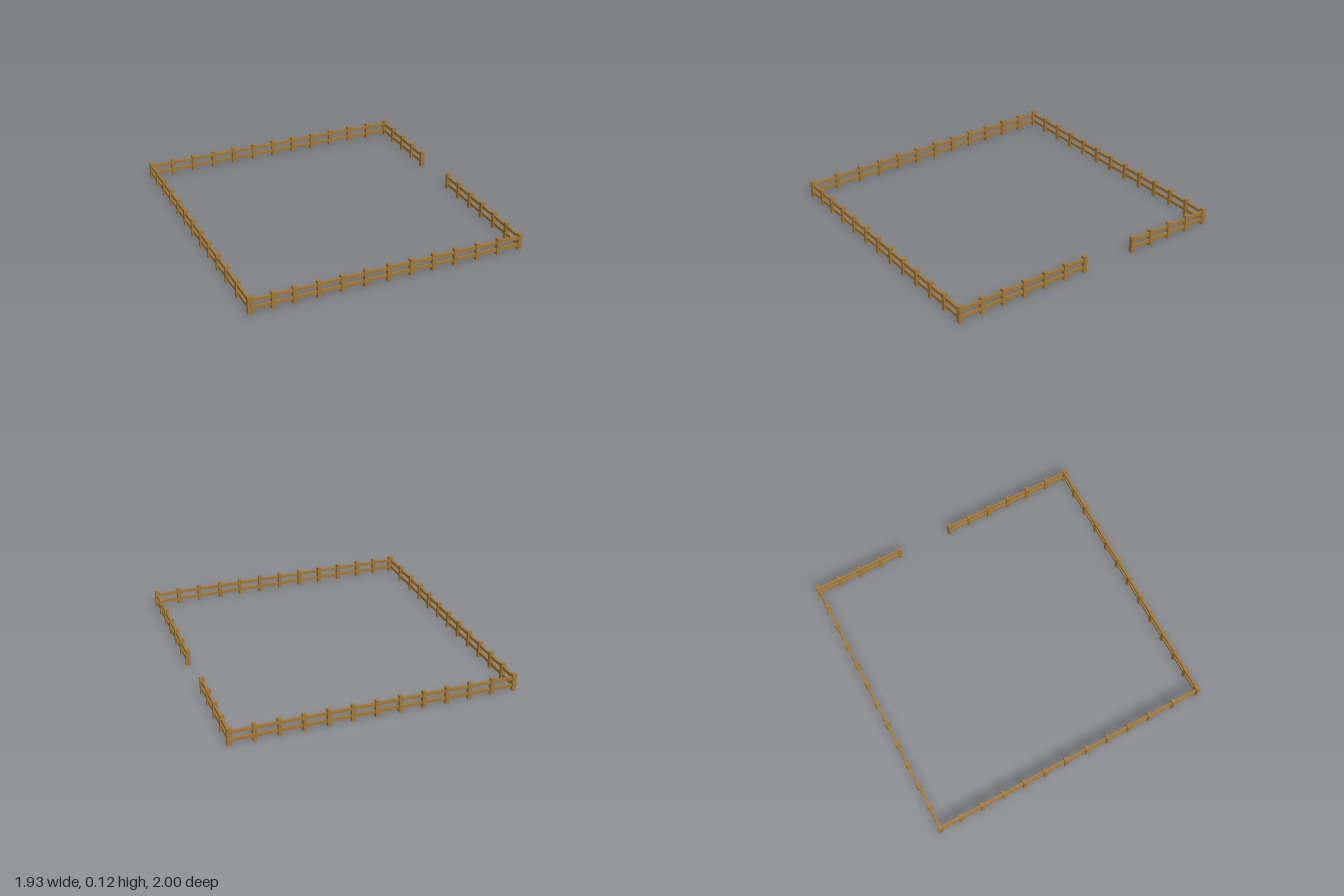
import * as THREE from 'three';

const wood = new THREE.MeshStandardMaterial({ color: 0xa0783a, flatShading: true });
const POST = { along: 0.024, height: 0.118, across: 0.03 };
const RAIL = { height: 0.021, thickness: 0.014, levels: [0.035, 0.088] };

const postGeometry = new THREE.BoxGeometry(POST.along, POST.height, POST.across);

// A straight run from [x, z] to [x, z]; stops are post positions as fractions of the run.
function fenceRun(name, [x0, z0], [x1, z1], stops) {
  const run = new THREE.Group();
  run.name = name;
  const length = Math.hypot(x1 - x0, z1 - z0);
  run.position.set(x0, 0, z0);
  run.rotation.y = -Math.atan2(z1 - z0, x1 - x0);

  // Upright posts
  for (const t of stops) {
    const post = new THREE.Mesh(postGeometry, wood);
    post.name = 'post';
    post.position.set(t * length, POST.height / 2, 0);
    run.add(post);
  }

  // Lower and upper rails
  const railGeometry = new THREE.BoxGeometry(length, RAIL.height, RAIL.thickness);
  for (const y of RAIL.levels) {
    const rail = new THREE.Mesh(railGeometry, wood);
    rail.name = y === RAIL.levels[0] ? 'lowerRail' : 'upperRail';
    rail.position.set(length / 2, y, 0);
    run.add(rail);
  }
  return run;
}

// Evenly spaced stops, both ends included
const even = (count) => Array.from({ length: count }, (_, i) => i / (count - 1));

export function createModel() {
  const fence = new THREE.Group();
  fence.name = 'paddockFence';

  const backRight = [-0.95, -0.985];
  const backLeft = [0.948, -0.985];
  const frontLeft = [0.948, 0.98];
  const frontRight = [-0.92, 0.98];

  // Closed sides; the front and right runs space their last posts unevenly
  const frontX = [-0.907, -0.77, -0.632, -0.473, -0.316, -0.158, 0, 0.157, 0.314, 0.47, 0.63, 0.786, 0.948];
  const rightZ = [-0.985, -0.835, -0.676, -0.517, -0.36, -0.203, -0.046, 0.115, 0.274, 0.436, 0.598, 0.786, 0.98];
  fence.add(
    fenceRun('backFence', backRight, backLeft, even(13)),
    fenceRun('frontFence', frontRight, frontLeft, frontX.map((x) => (x + 0.92) / 1.868)),
    fenceRun('rightFence', backRight, frontRight, rightZ.map((z) => (z + 0.985) / 1.965)),
  );

  // Left side, split by the gateway opening
  fence.add(
    fenceRun('leftBackFence', backLeft, [0.948, -0.356], even(5)),
    fenceRun('leftFrontFence', [0.948, 0.041], frontLeft, even(7)),
  );
  return fence;
}
